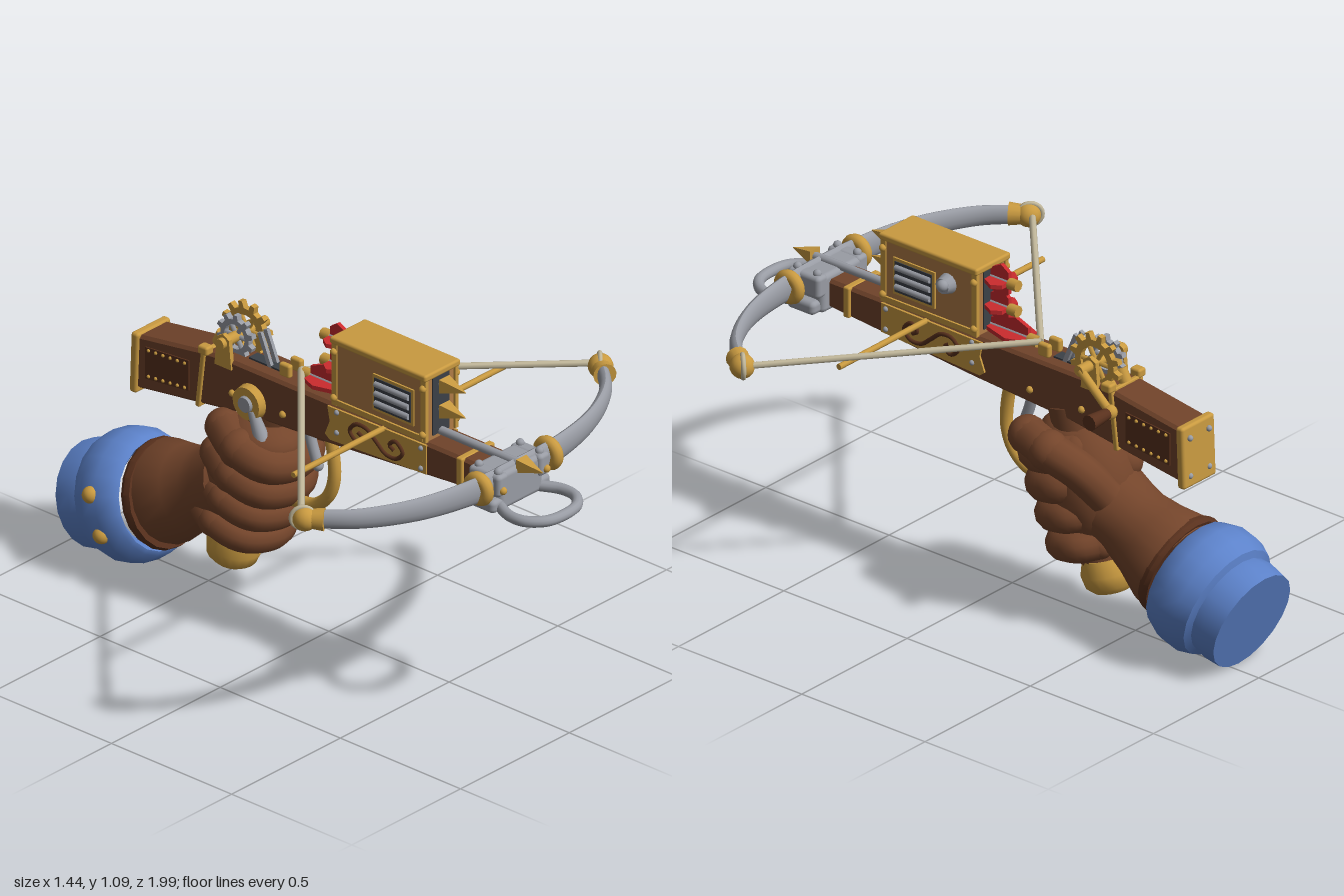
import * as THREE from 'three';
import { toCreasedNormals } from 'three/addons/utils/BufferGeometryUtils.js';
import { RoundedBoxGeometry } from 'three/addons/geometries/RoundedBoxGeometry.js';

const material = (name, color, side = THREE.FrontSide) =>
  Object.assign(new THREE.MeshStandardMaterial({ color, side }), { name });
const V = (x, y, z) => new THREE.Vector3(x, y, z);
const UP = V(0, 1, 0);

export function createModel() {
  const root = new THREE.Group();
  root.name = 'repeatingCrossbow';
  const wood = material('stock wood', 0x70432a);
  const darkWood = material('dark wood', 0x59311d);
  const leather = material('glove leather', 0x74452b);
  const tan = material('magazine wood', 0xb07c46);
  const brass = material('brass', 0xc99a40);
  const steel = material('steel', 0x999ca4);
  const dark = material('dark iron', 0x3c4148);
  const red = material('red fletching', 0xcb2b2e, THREE.DoubleSide);
  const cord = material('bowstring', 0xc2b89b);
  const blue = material('sleeve cloth', 0x5c82ca);

  const add = (name, geo, mat, x = 0, y = 0, z = 0) => {
    const m = new THREE.Mesh(geo, mat);
    m.name = name;
    m.position.set(x, y, z);
    root.add(m);
    return m;
  };
  const box = (name, mat, w, h, d, x, y, z, r = 0) =>
    add(name, r ? new RoundedBoxGeometry(w, h, d, 2, r) : new THREE.BoxGeometry(w, h, d), mat, x, y, z);
  const ball = (name, mat, r, x, y, z) => add(name, new THREE.SphereGeometry(r, 16, 12), mat, x, y, z);
  const rod = (name, mat, a, b, r0, r1 = r0, seg = 14) => {
    const d = b.clone().sub(a);
    const m = add(name, new THREE.CylinderGeometry(r1, r0, d.length(), seg), mat);
    m.position.copy(a).add(b).multiplyScalar(0.5);
    m.quaternion.setFromUnitVectors(UP, d.normalize());
    return m;
  };
  const tube = (name, mat, pts, r, seg = 32, closed = false) =>
    add(name, new THREE.TubeGeometry(new THREE.CatmullRomCurve3(pts, closed), seg, r, 12, closed), mat);
  // turned part: profile of [radius, height] along a direction
  const turned = (name, mat, profile, origin, dir) => {
    const g = new THREE.LatheGeometry(profile.map(p => new THREE.Vector2(...p)), 20);
    const m = add(name, toCreasedNormals(g, 0.7), mat, origin.x, origin.y, origin.z);
    m.quaternion.setFromUnitVectors(UP, dir.clone().normalize());
    return m;
  };
  // side outline of [z, y] points, extruded across x
  const slab = (name, mat, pts, w, bevel = 0) => {
    const g = new THREE.ExtrudeGeometry(new THREE.Shape(pts.map(p => new THREE.Vector2(...p))), {
      depth: w - 2 * bevel, bevelEnabled: bevel > 0, bevelSize: bevel, bevelOffset: -bevel, bevelThickness: bevel, bevelSegments: 1 });
    g.translate(0, 0, bevel - w / 2).rotateY(-Math.PI / 2);
    return add(name, g, mat);
  };

  // Stock and its fittings
  slab('stock', wood, [[0.76, 0.77], [0.1, 0.715], [-0.3, 0.69], [-0.5, 0.66], [-0.745, 0.625],
    [-0.745, 0.81], [-0.48, 0.85], [-0.38, 0.86], [0.76, 0.86]], 0.135, 0.01);
  const butt = box('buttCap', brass, 0.155, 0.21, 0.03, 0, 0.715, -0.745, 0.01);
  butt.rotation.x = 0.04;
  for (const x of [-0.045, 0.045]) for (const y of [0.65, 0.78]) ball('buttStud', steel, 0.01, x, y, -0.76);
  box('frontBand', brass, 0.155, 0.105, 0.025, 0, 0.81, 0.61, 0.006);
  rod('frontPeg', brass, V(0, 0.77, 0.61), V(0, 0.735, 0.61), 0.018);
  const rearBand = box('rearBand', brass, 0.15, 0.205, 0.018, 0, 0.757, -0.47, 0.005);
  rearBand.rotation.x = 0.12;
  for (const s of [1, -1]) {
    const plate = slab('sidePlate', brass, [[0.47, 0.755], [0.07, 0.735], [0.05, 0.75], [0.07, 0.8], [0.06, 0.85], [0.47, 0.855]], 0.008);
    plate.position.x = s * 0.07;
    const half = [[0.04, -0.03], [0.085, -0.03], [0.11, 0], [0.08, 0.028], [0.055, 0.008], [0.075, -0.006]];
    const scroll = [...half.map(p => [-p[0], -p[1]]).reverse(), [0, 0], ...half];
    tube('plateScroll', darkWood, scroll.map(p => V(s * 0.075, 0.798 + p[1], 0.265 + p[0])), 0.007, 70);
    for (const z of [0.45, 0.1]) for (const y of [0.77, 0.84]) ball('plateStud', steel, 0.009, s * 0.074, y, z);
    for (const z of [-0.13, -0.34]) ball('stockStud', brass, 0.012, s * 0.068, 0.75, z);
    slab('rearPanel', darkWood, [[-0.52, 0.695], [-0.7, 0.675], [-0.7, 0.785], [-0.52, 0.8]], 0.008).position.x = s * 0.068;
    for (let i = 0; i < 6; i++) for (const top of [0, 1])
      ball('panelStud', brass, 0.006, s * 0.072, (top ? 0.787 : 0.702) - i * (top ? 0.002 : 0.003), -0.535 - i * 0.03);
  }

  // Bow, mount and stirrup
  box('bowMount', steel, 0.2, 0.13, 0.12, 0, 0.815, 0.745, 0.018);
  box('mountFlange', steel, 0.27, 0.045, 0.11, 0, 0.775, 0.75, 0.016);
  const bowPath = new THREE.CatmullRomCurve3([V(-0.67, 0, 0.53), V(-0.57, 0, 0.635), V(-0.4, 0, 0.725), V(-0.2, 0, 0.768),
    V(0, 0, 0.775), V(0.2, 0, 0.768), V(0.4, 0, 0.725), V(0.57, 0, 0.635), V(0.67, 0, 0.53)]);
  const bowGeo = new THREE.TubeGeometry(bowPath, 48, 0.02, 14);
  const bp = bowGeo.attributes.position;
  for (let i = 0; i < bp.count; i++) {
    const t = Math.abs(bp.getX(i)) / 0.67;
    bp.setY(i, bp.getY(i) * (2.55 - t) + 0.84 + 0.015 * t);
  }
  bowGeo.computeVertexNormals();
  add('bowLimbs', bowGeo, steel);
  for (const s of [1, -1]) {
    box('mountLug', steel, 0.05, 0.075, 0.13, s * 0.095, 0.845, 0.75, 0.014);
    for (const z of [0.71, 0.79]) ball('mountBolt', steel, 0.014, s * 0.095, 0.885, z);
    ball('mountStud', brass, 0.013, s * 0.1, 0.83, 0.815);
    const ring = add('limbCollar', new THREE.TorusGeometry(0.036, 0.021, 12, 24), brass, s * 0.16, 0.845, 0.768);
    ring.rotation.y = Math.PI / 2;
    rod('tipFerrule', brass, V(s * 0.645, 0.855, 0.565), V(s * 0.675, 0.855, 0.52), 0.037, 0.03);
    ball('tipBall', brass, 0.04, s * 0.68, 0.855, 0.515);
    const loop = add('stringLoop', new THREE.TorusGeometry(0.037, 0.008, 8, 20), cord, s * 0.683, 0.857, 0.51);
    loop.rotation.y = s * Math.PI / 4;
    rod('bowstring', cord, V(s * 0.68, 0.86, 0.5), V(0, 0.885, -0.115), 0.011, 0.011, 8);
  }
  rod('crossbar', brass, V(-0.485, 0.85, 0.29), V(0.485, 0.85, 0.29), 0.01, 0.01, 8);
  tube('stirrup', steel, [[-0.085, 0.78], [-0.12, 0.86], [-0.115, 0.92], [-0.07, 0.967], [0, 0.98],
    [0.07, 0.967], [0.115, 0.92], [0.12, 0.86], [0.085, 0.78]].map(p => V(p[0], 0.767, p[1])), 0.018, 48);

  // Bolt magazine
  box('magazineBody', tan, 0.14, 0.225, 0.375, 0, 0.97, 0.275);
  box('magazineLid', brass, 0.165, 0.024, 0.4, 0, 1.088, 0.275, 0.008);
  box('magazineSlot', dark, 0.075, 0.2, 0.008, 0, 0.975, 0.464);
  box('magazineBackSlot', dark, 0.075, 0.2, 0.008, 0, 0.975, 0.086);
  for (const s of [1, -1]) {
    for (const z of [0.09, 0.46]) {
      box('cornerPost', brass, 0.014, 0.215, 0.02, s * 0.069, 0.97, z);
      for (const y of [0.89, 1.05]) ball('postStud', brass, 0.012, s * 0.077, y, z);
    }
    box('baseRail', brass, 0.014, 0.018, 0.37, s * 0.07, 0.875, 0.275);
    box('windowFrame', brass, 0.008, 0.125, 0.17, s * 0.072, 0.968, 0.335);
    box('windowOpening', dark, 0.008, 0.105, 0.15, s * 0.075, 0.968, 0.335);
    for (let i = 0; i < 3; i++)
      rod('windowBar', steel, V(s * 0.08, 0.935 + i * 0.033, 0.265), V(s * 0.08, 0.935 + i * 0.033, 0.405), 0.01, 0.01, 8);
  }
  rod('magazineLatch', steel, V(0.07, 1.01, 0.2), V(0.1, 1.01, 0.2), 0.034, 0.026, 12);
  ball('latchKnob', steel, 0.019, 0.11, 1.02, 0.19);

  // Three bolts, the lowest lying on the rail
  const bolt = (y, tip, tail, len) => {
    rod('boltShaft', steel, V(0, y, tail), V(0, y, tip - 0.08), 0.014, 0.014, 8);
    const head = rod('boltHead', brass, V(0, y, tip - 0.09), V(0, y, tip), 0.033, 0.001, 4);
    head.geometry = toCreasedNormals(head.geometry, 0.3);
    head.rotateY(Math.PI / 4);
    rod('boltNock', brass, V(0, y, tail - 0.02), V(0, y, tail + 0.015), 0.019, 0.019, 8);
    for (let i = 0; i < 4; i++) {
      const vane = slab('boltVane', red, [[0, 0.01], [0, 0.038], [len * 0.35, 0.058], [len, 0.03], [len, 0.01]], 0.014);
      vane.position.set(0, y, tail + 0.015);
      vane.rotation.z = i * Math.PI / 2;
    }
  };
  bolt(1.045, 0.57, -0.005, 0.085);
  bolt(0.957, 0.57, -0.005, 0.085);
  bolt(0.88, 0.89, -0.085, 0.15);

  // Winding gear, crank, catch and sight
  const gearAt = (name, mat, x, R, teeth) => {
    const shape = new THREE.Shape();
    for (let i = 0; i < teeth; i++) for (const [k, r] of [[0, 0.78], [0.3, 0.78], [0.42, 1], [0.72, 1], [0.85, 0.78]]) {
      const a = (i + k) / teeth * Math.PI * 2;
      shape[i || k ? 'lineTo' : 'moveTo'](Math.cos(a) * r * R, Math.sin(a) * r * R);
    }
    shape.holes.push(new THREE.Path().absarc(0, 0, R * 0.56, 0, Math.PI * 2, true));
    const g = new THREE.ExtrudeGeometry(shape, { depth: 0.02, bevelEnabled: false, curveSegments: 10 });
    add(name, g.translate(0, 0, -0.01).rotateY(Math.PI / 2), mat, x, 0.915, -0.375);
    for (let i = 0; i < 3; i++) {
      const a = i * Math.PI / 3, y = Math.sin(a) * R * 0.62, z = Math.cos(a) * R * 0.62;
      rod(name + 'Spoke', mat, V(x, 0.915 - y, -0.375 - z), V(x, 0.915 + y, -0.375 + z), 0.008, 0.008, 6);
    }
  };
  gearAt('largeGear', brass, 0.04, 0.1, 12);
  gearAt('ratchetGear', steel, -0.01, 0.075, 10);
  rod('gearAxle', brass, V(-0.09, 0.915, -0.375), V(0.125, 0.915, -0.375), 0.018);
  for (const s of [1, -1]) {
    slab('gearBracket', brass, [[-0.34, 0.83], [-0.41, 0.83], [-0.4, 0.93], [-0.375, 0.945], [-0.35, 0.93]], 0.015).position.x = s * 0.066;
    box('bracketFoot', brass, 0.035, 0.03, 0.04, s * 0.07, 0.865, -0.45, 0.008);
    box('stringCatch', brass, 0.022, 0.045, 0.045, s * 0.026, 0.88, -0.155, 0.008);
    const leaf = box('sightLeaf', steel, 0.012, 0.12, 0.016, s * 0.014, 0.91, -0.25);
    leaf.rotation.x = -0.4;
  }
  rod('gearPawl', brass, V(0, 0.86, -0.46), V(0, 0.9, -0.44), 0.02);
  box('catchSlot', dark, 0.04, 0.008, 0.13, 0, 0.862, -0.25);
  rod('crankArm', brass, V(0.115, 0.915, -0.375), V(0.115, 0.81, -0.495), 0.014);
  ball('crankJoint', brass, 0.024, 0.115, 0.81, -0.495);
  rod('crankGrip', darkWood, V(0.125, 0.81, -0.495), V(0.215, 0.81, -0.495), 0.018, 0.026);
  rod('catchDial', brass, V(-0.065, 0.75, -0.26), V(-0.095, 0.75, -0.26), 0.06, 0.055, 20);
  rod('dialHub', steel, V(-0.09, 0.75, -0.26), V(-0.105, 0.75, -0.26), 0.03, 0.025);
  rod('releaseLever', steel, V(-0.085, 0.73, -0.24), V(-0.085, 0.64, -0.2), 0.016, 0.026);

  // Trigger, guard and pistol grip
  tube('trigger', steel, [V(0, 0.73, -0.09), V(0, 0.66, -0.075), V(0, 0.575, -0.045)], 0.018, 12);
  ball('triggerTip', steel, 0.018, 0, 0.575, -0.045);
  tube('triggerGuard', brass, [V(0, 0.73, -0.005), V(0, 0.66, 0.015), V(0, 0.55, 0.022), V(0, 0.48, -0.005),
    V(0, 0.435, -0.06), V(0, 0.42, -0.15)], 0.021, 28);
  rod('grip', wood, V(0, 0.72, -0.24), V(0, 0.22, -0.375), 0.075, 0.075, 16);
  turned('pommel', brass, [[0, -0.06], [0.06, -0.06], [0.082, -0.04], [0.09, 0], [0.075, 0.05], [0, 0.05]],
    V(0, 0.185, -0.392), V(0, 0.96, 0.27));

  // Gloved hand closed round the grip
  const palm = add('palm', new THREE.SphereGeometry(1, 24, 18), leather, -0.005, 0.47, -0.325);
  palm.scale.set(0.145, 0.215, 0.14);
  palm.rotation.x = 0.3;
  const web = add('thumbWeb', new THREE.SphereGeometry(1, 20, 14), leather, -0.025, 0.605, -0.26);
  web.scale.set(0.125, 0.08, 0.14);
  [[0.56, -0.085, 0.06], [0.462, -0.11, 0.057], [0.367, -0.145, 0.053], [0.275, -0.185, 0.05]].forEach(([y, f, r]) => {
    const pts = [V(-0.08, y + 0.07, f - 0.28), V(-0.122, y + 0.045, f - 0.18), V(-0.1, y + 0.01, f - 0.09),
      V(0, y - 0.005, f - r), V(0.09, y, f - 0.09), V(0.112, y + 0.02, f - 0.17), V(0.06, y + 0.03, f - 0.22)];
    tube('finger', leather, pts, r, 36);
    for (const p of [pts[0], pts[6]]) ball('fingerEnd', leather, r, p.x, p.y, p.z);
    ball('knuckle', leather, r * 1.08, pts[1].x, pts[1].y, pts[1].z);
  });
  tube('thumb', leather, [V(0.05, 0.47, -0.42), V(0.11, 0.56, -0.37), V(0.145, 0.615, -0.27), V(0.125, 0.63, -0.17)], 0.062, 24);
  ball('thumbTip', leather, 0.063, 0.125, 0.63, -0.17);
  ball('thumbJoint', leather, 0.067, 0.145, 0.615, -0.27);

  // Gauntlet and sleeve
  turned('gauntlet', leather, [[0, -0.06], [0.1, -0.05], [0.138, 0], [0.128, 0.08], [0.126, 0.13], [0.14, 0.2], [0.168, 0.29], [0.16, 0.32], [0, 0.32]],
    V(-0.025, 0.415, -0.365), V(-0.01, -0.42, -0.9));
  turned('gauntletRim', darkWood, [[0.14, -0.015], [0.172, -0.015], [0.178, 0.005], [0.172, 0.02], [0.14, 0.02]],
    V(-0.035, 0.278, -0.65), V(0, -0.31, -0.95));
  turned('sleeve', blue, [[0.15, 0.02], [0.175, -0.01], [0.19, 0], [0.213, 0.06], [0.213, 0.12], [0.195, 0.165],
    [0.172, 0.175], [0.178, 0.21], [0.172, 0.27], [0, 0.27]], V(-0.035, 0.26, -0.685), V(0, -0.31, -0.95));
  for (const y of [0.3, 0.175]) ball('sleeveButton', brass, 0.028, -0.228, y, y > 0.2 ? -0.785 : -0.74);

  return root;
}
